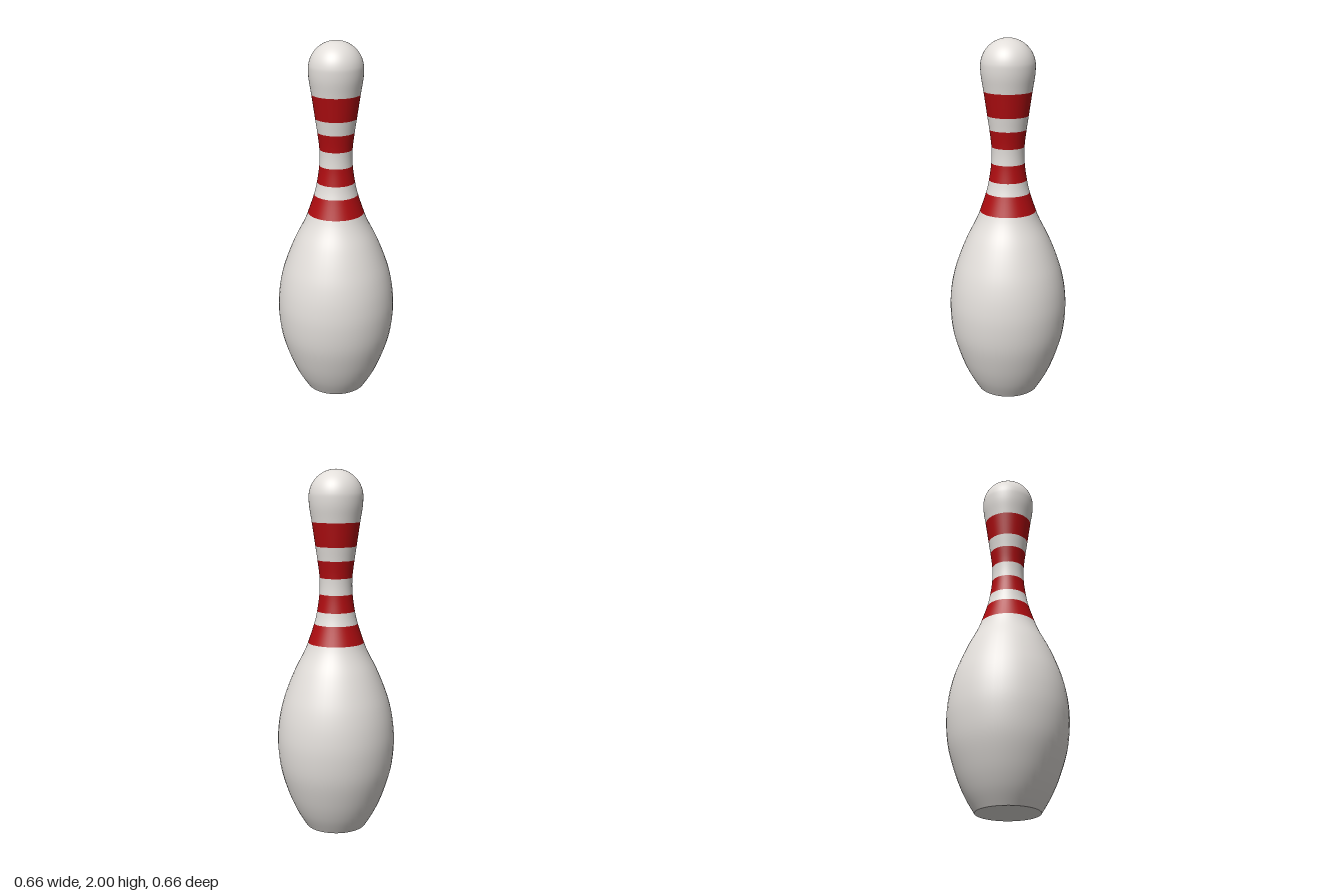
import * as THREE from 'three';

const SEGMENTS = 48;
const STEPS = 5; // samples between neighbouring profile points

// Profile [radius, height] from foot to crown; stripe edges are profile points
const profile = [
  [0.172, 0], [0.225, 0.09], [0.272, 0.2], [0.313, 0.34], [0.328, 0.48],
  [0.322, 0.6], [0.301, 0.71], [0.268, 0.81], [0.226, 0.91], [0.18, 1.0],
  [0.155, 1.06], [0.12, 1.165],
  [0.104, 1.235], [0.091, 1.33],
  [0.09, 1.42], [0.101, 1.515],
  [0.112, 1.59], [0.131, 1.72],
  [0.144, 1.8],
];
// Rounded head
const headRadius = 0.147;
for (let i = 0; i <= 8; i++) {
  const a = (i / 8) * Math.PI / 2;
  profile.push([headRadius * Math.cos(a), 2 - headRadius + headRadius * Math.sin(a)]);
}

// Sections between stripe edges: name, first and last profile index, striped or not
const sections = [
  ['body', 0, 10, false],
  ['lowestStripe', 10, 11, true],
  ['lowerNeck', 11, 12, false],
  ['lowerStripe', 12, 13, true],
  ['neck', 13, 14, false],
  ['upperStripe', 14, 15, true],
  ['upperNeck', 15, 16, false],
  ['topStripe', 16, 17, true],
  ['head', 17, profile.length - 1, false],
];

export function createModel() {
  const group = new THREE.Group();
  group.name = 'bowlingPin';

  const white = new THREE.MeshStandardMaterial({ color: 0xe2deda });
  white.name = 'warm white';
  const red = new THREE.MeshStandardMaterial({ color: 0xae0c10 });
  red.name = 'stripe red';

  const curve = new THREE.SplineCurve(profile.map(([r, y]) => new THREE.Vector2(r, y)));
  const spans = profile.length - 1;

  for (const [name, from, to, striped] of sections) {
    const points = [];
    for (let i = from * STEPS; i <= to * STEPS; i++) {
      const p = curve.getPoint(i / (spans * STEPS));
      p.x = Math.max(p.x, 0);
      points.push(p);
    }
    const mesh = new THREE.Mesh(new THREE.LatheGeometry(points, SEGMENTS), striped ? red : white);
    mesh.name = name;
    group.add(mesh);
  }

  // Flat foot, facing down
  const foot = new THREE.Mesh(new THREE.CircleGeometry(profile[0][0], SEGMENTS), white);
  foot.rotation.x = Math.PI / 2;
  foot.name = 'foot';
  group.add(foot);

  return group;
}
